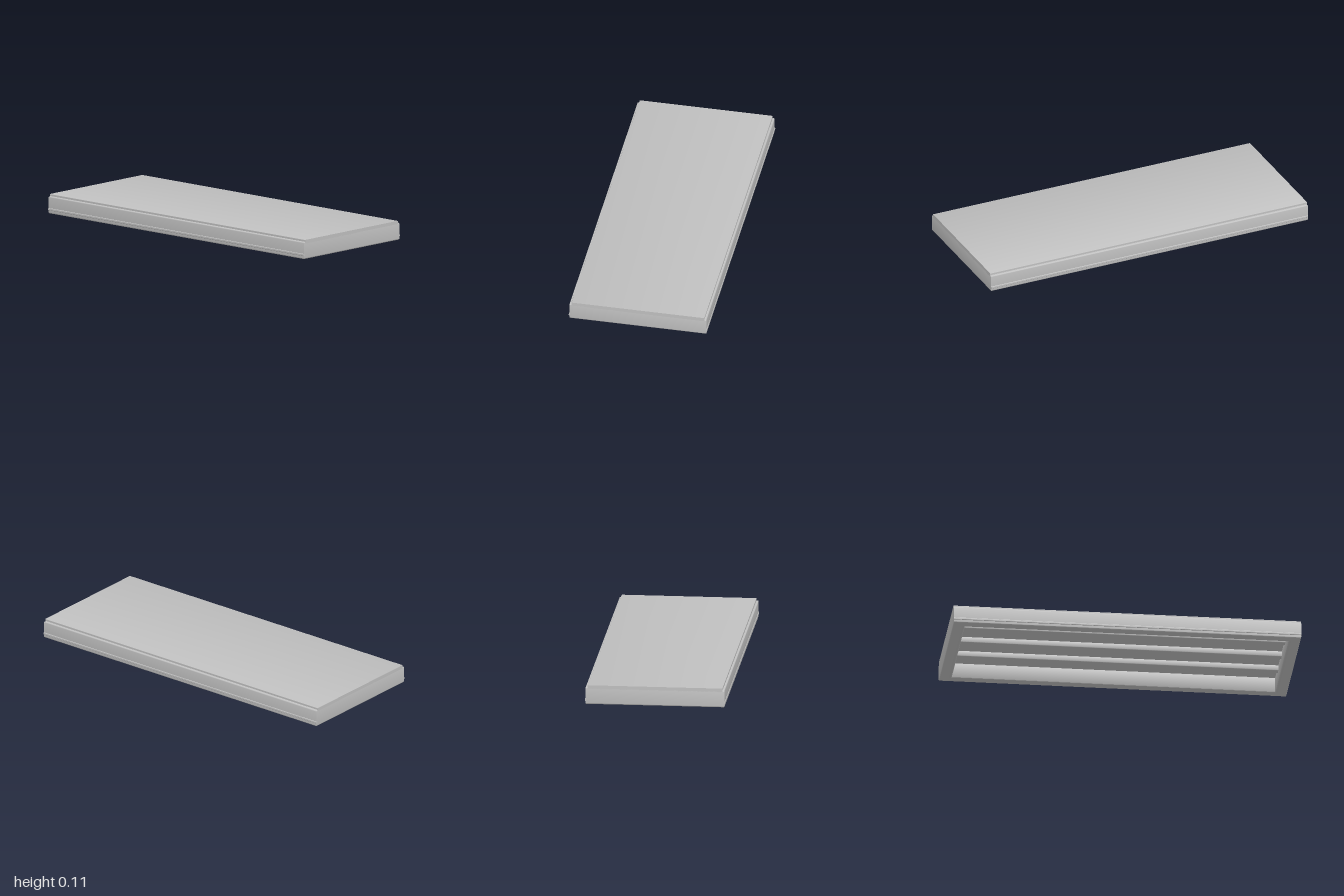
import * as THREE from 'three';
import { toCreasedNormals } from 'three/addons/utils/BufferGeometryUtils.js';

const smooth = (geometry) => toCreasedNormals(geometry, 0.6);

function rectangle(Type, w, h) {
  return new Type([
    new THREE.Vector2(-w, -h), new THREE.Vector2(w, -h),
    new THREE.Vector2(w, h), new THREE.Vector2(-w, h),
  ]);
}

// Bar along x with a rounded rectangular section (z by y), centred on the origin
function roundedBar(length, depth, height, r) {
  const w = depth / 2, h = height / 2;
  const s = new THREE.Shape();
  s.absarc(w - r, h - r, r, 0, Math.PI / 2);
  s.absarc(-w + r, h - r, r, Math.PI / 2, Math.PI);
  s.absarc(-w + r, -h + r, r, Math.PI, Math.PI * 1.5);
  s.absarc(w - r, -h + r, r, Math.PI * 1.5, Math.PI * 2);
  s.closePath();
  const g = new THREE.ExtrudeGeometry(s, { depth: length, bevelEnabled: false, curveSegments: 4 });
  g.translate(0, 0, -length / 2);
  g.rotateY(Math.PI / 2);
  return smooth(g);
}

export function createModel() {
  const model = new THREE.Group();
  model.name = 'shelfPanel';
  const metal = new THREE.MeshStandardMaterial({ color: 0xc0c0c0 });
  metal.name = 'light grey metal';

  function add(name, geometry, x, y, z) {
    const mesh = new THREE.Mesh(geometry, metal);
    mesh.name = name;
    mesh.position.set(x, y, z);
    model.add(mesh);
  }

  // Hollow rim with softened edges, open underneath
  const rim = rectangle(THREE.Shape, 1, 0.4);
  rim.holes.push(rectangle(THREE.Path, 0.93, 0.345));
  const bevel = 0.007;
  const rimGeometry = new THREE.ExtrudeGeometry(rim, {
    depth: 0.1 - 2 * bevel, bevelThickness: bevel, bevelSize: bevel,
    bevelOffset: -bevel, bevelSegments: 4,
  });
  rimGeometry.rotateX(-Math.PI / 2);
  add('rim', smooth(rimGeometry), 0, bevel, 0);

  // Deck raised slightly above the rim
  add('deck', roundedBar(2, 0.776, 0.022, 0.003), 0, 0.101, 0);

  // Stiffening ribs under the deck
  for (const z of [-0.19, 0, 0.19]) {
    add('rib', roundedBar(1.88, 0.035, 0.035, 0.004), 0, 0.075, z);
  }

  // Narrow beads along both long sides
  for (const side of [-1, 1]) {
    add('bead', roundedBar(2, 0.012, 0.014, 0.004), 0, 0.025, side * 0.397);
  }

  return model;
}
